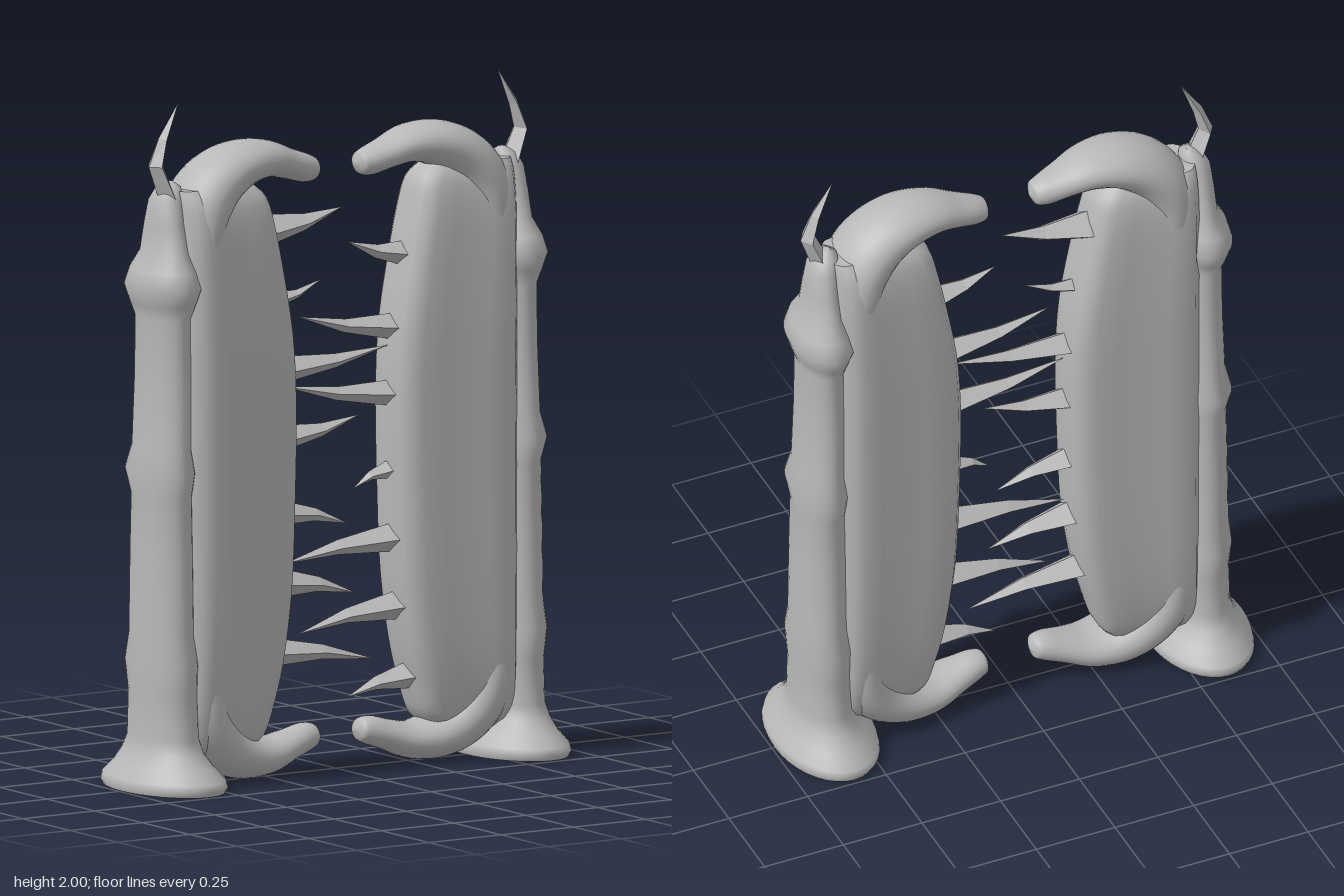
import * as THREE from 'three';

const stone = new THREE.MeshStandardMaterial({ color: 0xb8b8b8 });
stone.name = 'grey stone';

// Skin a list of equal-length point rings, cap both ends, face outwards
function loft(rings, flat = false) {
  const n = rings[0].length, pos = [], idx = [];
  rings.forEach(r => r.forEach(p => pos.push(p.x, p.y, p.z)));
  for (let i = 0; i < rings.length - 1; i++) {
    for (let j = 0; j < n; j++) {
      const a = i * n + j, b = i * n + (j + 1) % n;
      idx.push(a, b, a + n, b, b + n, a + n);
    }
  }
  [0, rings.length - 1].forEach((k, end) => {
    const c = new THREE.Vector3();
    rings[k].forEach(p => c.addScaledVector(p, 1 / n));
    const base = pos.length / 3;
    rings[k].forEach(p => pos.push(p.x, p.y, p.z));
    pos.push(c.x, c.y, c.z);
    for (let j = 0; j < n; j++) {
      const a = base + j, b = base + (j + 1) % n;
      if (end) idx.push(a, b, base + n); else idx.push(b, a, base + n);
    }
  });
  // Signed volume tells whether the winding must be reversed
  const v = i => new THREE.Vector3().fromArray(pos, i * 3);
  let volume = 0;
  for (let i = 0; i < idx.length; i += 3) volume += v(idx[i]).dot(v(idx[i + 1]).cross(v(idx[i + 2])));
  if (volume < 0) idx.reverse();
  let g = new THREE.BufferGeometry();
  g.setAttribute('position', new THREE.Float32BufferAttribute(pos, 3));
  g.setIndex(idx);
  if (flat) g = g.toNonIndexed();
  g.computeVertexNormals();
  return g;
}

// Elliptical sections [x, y, radius in plane, radius in z] along a path in the xy plane
function limb(stations, side, { sides = 28, smooth = 0, z = 0, upright = false, flat = false } = {}) {
  let st = stations;
  if (smooth) {
    const path = new THREE.CatmullRomCurve3(st.map(s => new THREE.Vector3(s[0], s[1], 0)));
    const size = new THREE.CatmullRomCurve3(st.map(s => new THREE.Vector3(s[2], s[3], 0)));
    st = Array.from({ length: smooth + 1 }, (_, i) => {
      const p = path.getPoint(i / smooth), r = size.getPoint(i / smooth);
      return [p.x, p.y, Math.max(r.x, 0.003), Math.max(r.y, 0.003)];
    });
  }
  const rings = st.map(([x, y, ru, rz], i) => {
    const a = st[Math.max(i - 1, 0)], b = st[Math.min(i + 1, st.length - 1)];
    const t = upright ? new THREE.Vector2(0, 1) : new THREE.Vector2(b[0] - a[0], b[1] - a[1]).normalize();
    return Array.from({ length: sides }, (_, j) => {
      const q = j / sides * Math.PI * 2, u = Math.cos(q) * ru;
      return new THREE.Vector3(side * (x - t.y * u), y + t.x * u, z + Math.sin(q) * rz);
    });
  });
  return loft(rings, flat);
}

// Post: flared foot, two slight knuckles, one large knob, tapering top
const post = [
  [0.595, 0, 0.147, 0.235], [0.595, 0.015, 0.152, 0.245], [0.595, 0.035, 0.148, 0.238],
  [0.597, 0.07, 0.118, 0.195], [0.6, 0.11, 0.095, 0.16], [0.6, 0.15, 0.085, 0.138],
  [0.6, 0.28, 0.083, 0.132], [0.605, 0.37, 0.083, 0.146], [0.605, 0.45, 0.077, 0.126],
  [0.605, 0.7, 0.074, 0.122], [0.605, 0.86, 0.07, 0.12], [0.61, 0.93, 0.078, 0.142],
  [0.605, 1.0, 0.066, 0.12], [0.6, 1.2, 0.064, 0.115], [0.6, 1.38, 0.062, 0.112],
  [0.6, 1.42, 0.076, 0.13], [0.6, 1.47, 0.092, 0.15], [0.6, 1.52, 0.078, 0.13],
  [0.595, 1.57, 0.054, 0.1], [0.595, 1.65, 0.048, 0.08], [0.59, 1.72, 0.045, 0.062],
  [0.58, 1.76, 0.033, 0.042], [0.575, 1.775, 0.008, 0.01],
];

// Curled hook at the top of each door; the bottom one is its reflection
const hook = [
  [0.5, 1.3, 0.05, 0.08], [0.5, 1.5, 0.065, 0.11], [0.495, 1.62, 0.075, 0.125],
  [0.475, 1.7, 0.085, 0.125], [0.42, 1.765, 0.08, 0.118], [0.34, 1.805, 0.068, 0.108],
  [0.25, 1.812, 0.055, 0.09], [0.17, 1.79, 0.045, 0.068], [0.11, 1.772, 0.042, 0.052],
  [0.08, 1.768, 0.033, 0.04], [0.067, 1.767, 0.005, 0.005],
];

const horn = [
  [0.58, 1.66, 0.012, 0.02], [0.585, 1.71, 0.028, 0.05], [0.632, 1.825, 0.023, 0.036],
  [0.607, 1.9, 0.015, 0.022], [0.555, 2.0, 0.001, 0.001],
];

// Door panel: [y, inner edge x, thickness factor]
const panelRows = [
  [0.09, 0.33, 0.55], [0.14, 0.275, 0.78], [0.22, 0.25, 0.9], [0.34, 0.22, 0.97],
  [0.55, 0.19, 1], [0.8, 0.178, 1], [1.1, 0.173, 1], [1.3, 0.185, 1],
  [1.5, 0.22, 0.97], [1.62, 0.245, 0.92], [1.7, 0.265, 0.8], [1.75, 0.31, 0.55],
];
// Half section: [0 at inner edge to 1 at outer edge, half thickness]
const panelSection = [
  [0, 0.03], [0.015, 0.065], [0.06, 0.092], [0.15, 0.107], [0.32, 0.11], [0.5, 0.115],
  [0.68, 0.126], [0.8, 0.133], [0.9, 0.124], [0.97, 0.09], [1, 0.04],
];

function panel(side) {
  const curve = new THREE.CatmullRomCurve3(panelRows.map(r => new THREE.Vector3(...r)));
  const rings = Array.from({ length: 37 }, (_, i) => {
    const { x: y, y: inner, z: k } = curve.getPoint(i / 36);
    const at = ([t, h], s) => new THREE.Vector3(side * (inner + (0.58 - inner) * t), y, s * h * k);
    return [...panelSection.map(p => at(p, 1)), ...panelSection.slice().reverse().map(p => at(p, -1))];
  });
  return loft(rings);
}

// Teeth: [base distance from centre, base y, tip offset towards the other door (own side positive), tip y, half height]
const teeth = {
  '-1': [
    [0.24, 1.6, -0.02, 1.645, 0.048], [0.22, 1.39, 0.05, 1.44, 0.025], [0.185, 1.185, -0.18, 1.225, 0.04],
    [0.18, 0.985, -0.08, 1.03, 0.038], [0.185, 0.765, -0.04, 0.715, 0.036],
    [0.19, 0.56, -0.065, 0.51, 0.042], [0.225, 0.36, -0.13, 0.31, 0.042],
  ],
  '1': [
    [0.24, 1.49, 0.04, 1.54, 0.038], [0.19, 1.28, -0.13, 1.335, 0.038], [0.185, 1.085, -0.18, 1.135, 0.038],
    [0.175, 0.86, 0.06, 0.815, 0.026], [0.19, 0.66, -0.18, 0.615, 0.042],
    [0.205, 0.46, -0.13, 0.405, 0.042], [0.235, 0.25, 0.04, 0.205, 0.038],
  ],
};

function tooth([bx, by, tx, ty, h], side) {
  const sag = -0.22 * (ty - by);
  const at = (t, r) => [bx + (tx - bx) * t, by + (ty - by) * t + sag * Math.sin(Math.PI * t), h * r, h * r * 1.3];
  return limb([[bx + 0.05, by, h, h * 1.3], at(0, 1), at(0.5, 0.52), at(1, 0.01)], side, { sides: 4, flat: true });
}

export function createModel() {
  const model = new THREE.Group();
  model.name = 'toothed gate';
  for (const side of [-1, 1]) {
    const door = new THREE.Group();
    door.name = side > 0 ? 'leftDoor' : 'rightDoor';
    const add = (name, geometry) => {
      const mesh = new THREE.Mesh(geometry, stone);
      mesh.name = name;
      door.add(mesh);
    };
    add('post', limb(post, side, { upright: true, sides: 36 }));
    add('panel', panel(side));
    add('topHook', limb(hook, side, { smooth: 44 }));
    add('bottomHook', limb(hook.map(([x, y, a, b]) => [x, 1.875 - y, a, b]), side, { smooth: 44 }));
    add('horn', limb(horn, side, { sides: 4, z: 0.01, flat: true }));
    teeth[side].forEach((t, i) => add('tooth' + (i + 1), tooth(t, side)));
    model.add(door);
  }
  return model;
}
